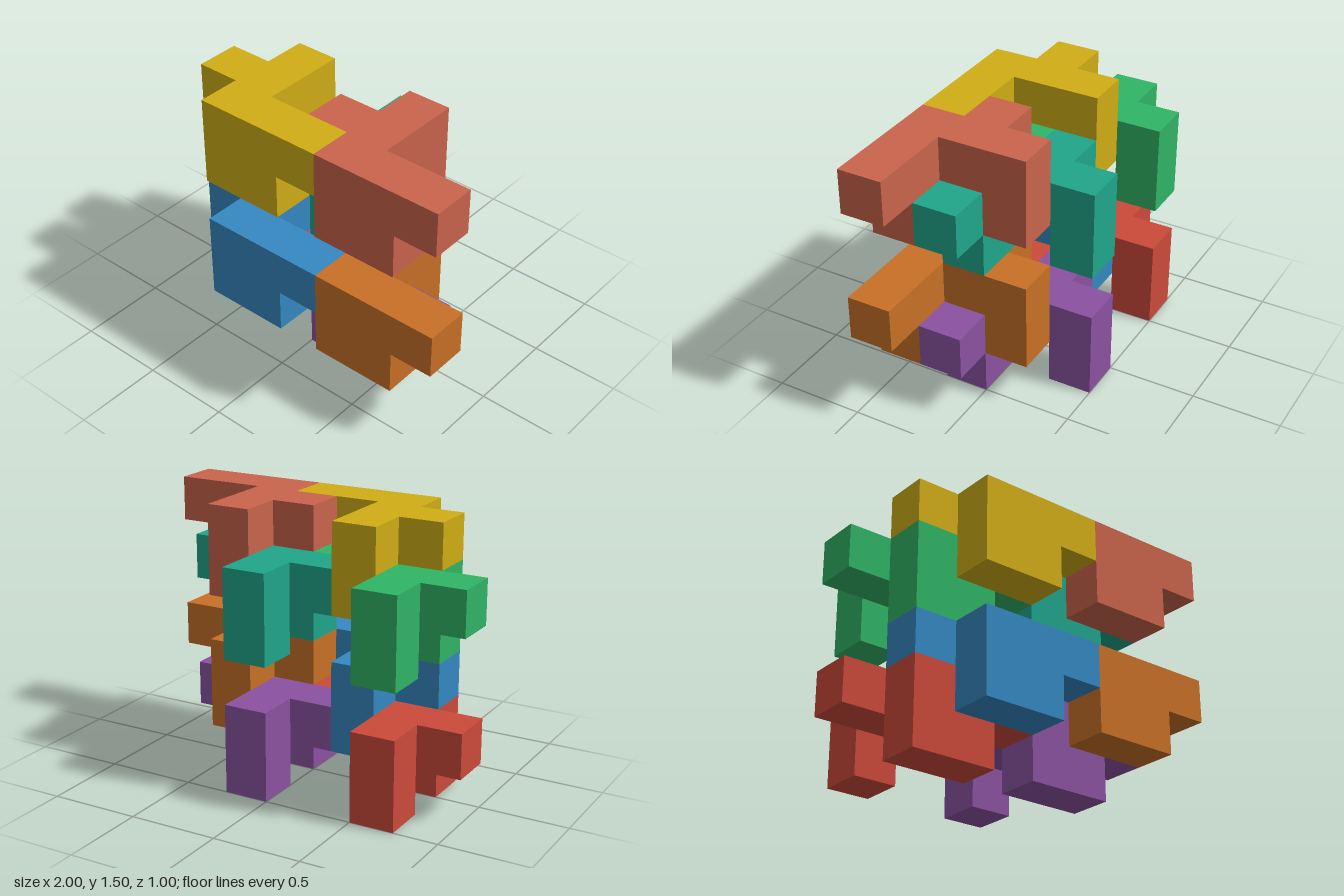
import * as THREE from 'three';

const U = 0.25; // edge of one cube cell

// Plate one cell thick from an outline of [x, z] cell corners
function plate(outline, y) {
  const shape = new THREE.Shape(outline.map(([x, z]) => new THREE.Vector2(x * U, -z * U)));
  const geo = new THREE.ExtrudeGeometry(shape, { depth: U, bevelEnabled: false });
  geo.rotateX(-Math.PI / 2);
  geo.translate(0, y * U, 0);
  return geo;
}

// Foot one cell high, spanning cells x0..x1 and z0..z1
function foot([x0, x1, z0, z1], y) {
  const geo = new THREE.BoxGeometry((x1 - x0) * U, U, (z1 - z0) * U);
  geo.translate((x0 + x1) / 2 * U, (y + 0.5) * U, (z0 + z1) / 2 * U);
  return geo;
}

// The two interlocking piece shapes: a plate with two feet beneath it
const hookPiece = {
  y: 1,
  outline: [[-3, -2], [-2, -2], [-2, 0], [0, 0], [0, 1], [-3, 1], [-3, 0], [-4, 0], [-4, -1], [-3, -1]],
  feet: [[-3, -2, -2, -1], [-3, -1, 0, 1]],
};
const capPiece = {
  y: 2,
  outline: [[-2, 2], [1, 2], [1, 1], [-1, 1], [-1, -1], [-2, -1], [-2, 0], [-3, 0], [-3, 1], [-2, 1]],
  feet: [[-2, 0, 1, 2], [-2, -1, -1, 0]],
};

function makePiece(name, { y, outline, feet }, color) {
  const piece = new THREE.Group();
  piece.name = name;
  const material = new THREE.MeshStandardMaterial({ color });
  const add = (part, geo) => {
    const mesh = new THREE.Mesh(geo, material);
    mesh.name = part;
    piece.add(mesh);
  };
  add('plate', plate(outline, y));
  feet.forEach((f, i) => add(i ? 'frontOrInnerFoot' : 'firstFoot', foot(f, y - 1)));
  return piece;
}

export function createModel() {
  const model = new THREE.Group();
  model.name = 'interlockingPuzzle';

  // Each pair of pieces repeats 3 cells to the side and 3 cells up
  const pairs = [
    ['lowerRight', 0, 0, 0xcb4a3a, 0x3488c2],
    ['lowerLeft', 3, 0, 0x8b52a0, 0xc87026],
    ['upperRight', 0, 3, 0x30b466, 0xd0ad16],
    ['upperLeft', 3, 3, 0x20a58b, 0xc9644c],
  ];
  for (const [name, dx, dy, hookColor, capColor] of pairs) {
    const pair = new THREE.Group();
    pair.name = name + 'Pair';
    pair.add(makePiece(name + 'HookPiece', hookPiece, hookColor));
    pair.add(makePiece(name + 'CapPiece', capPiece, capColor));
    pair.position.set(dx * U, dy * U, 0);
    model.add(pair);
  }
  return model;
}
